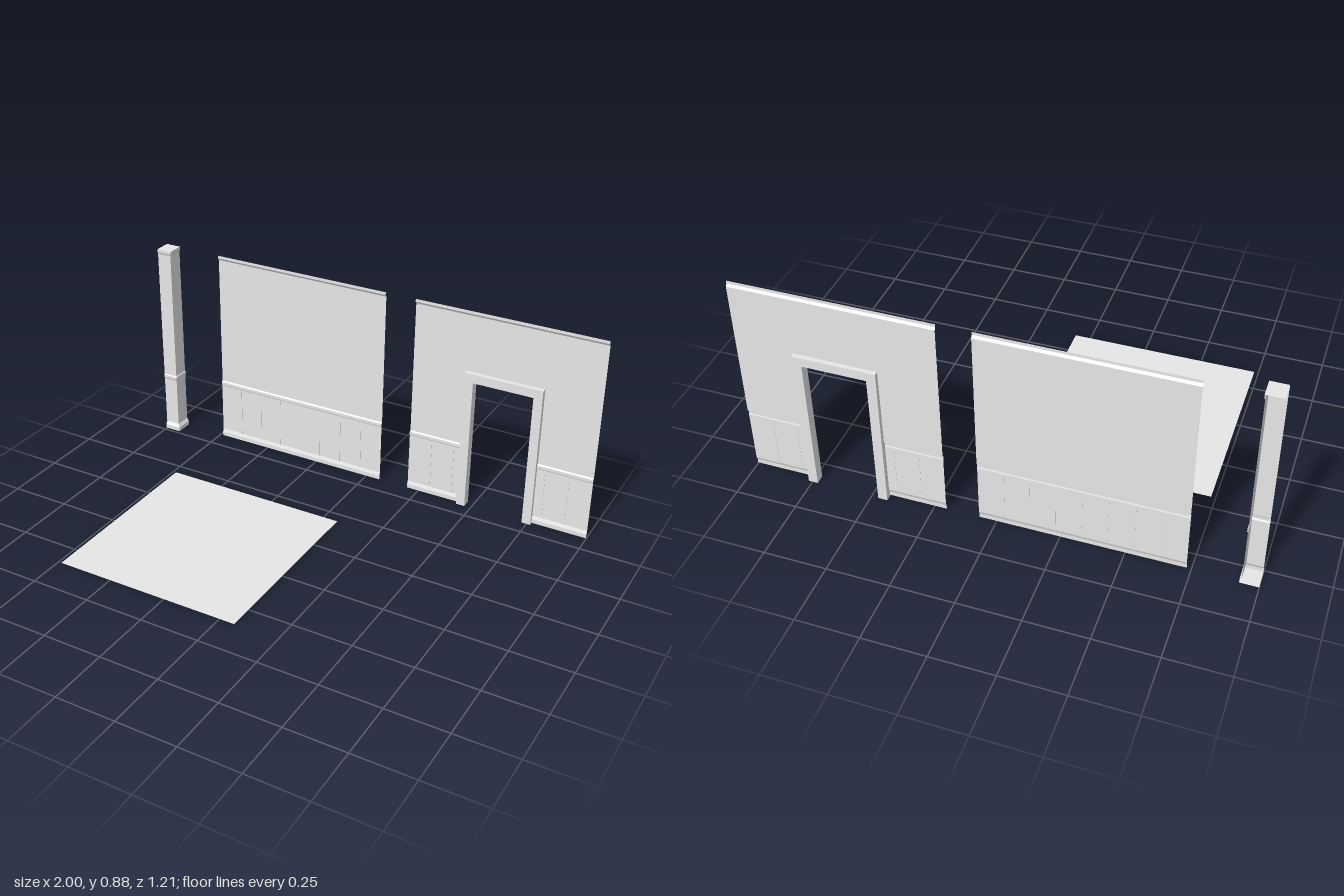
import * as THREE from 'three';

const plaster = new THREE.MeshStandardMaterial({ color: 0xe7e7e7, side: THREE.DoubleSide });
plaster.name = 'pale plaster';

const BASE = 0.004;   // underside of walls and floor
const TOP = 0.88;
const WALL_Z = -0.588;

// Moulding profile: [projection, height], from skirting to cornice
const PROFILE = [
  [0.009, BASE], [0.009, 0.022], [0.004, 0.036], [0.004, 0.258], [0.006, 0.264],
  [0.006, 0.276], [0, 0.281], [0, 0.858], [0.007, 0.868], [0.007, TOP],
];

// Crisp-edged sheet through rows of [x, y, z] points
function sheet(name, rows) {
  const pos = [];
  for (let r = 0; r < rows.length - 1; r++) {
    for (let c = 0; c < rows[r].length - 1; c++) {
      const a = rows[r][c], b = rows[r][c + 1], d = rows[r + 1][c], e = rows[r + 1][c + 1];
      pos.push(...a, ...b, ...e, ...a, ...e, ...d);
    }
  }
  const geo = new THREE.BufferGeometry();
  geo.setAttribute('position', new THREE.Float32BufferAttribute(pos, 3));
  geo.computeVertexNormals();
  const mesh = new THREE.Mesh(geo, plaster);
  mesh.name = name;
  return mesh;
}

// Straight length of moulded wall, starting at height y0
function wallRun(name, x0, x1, y0 = BASE) {
  let profile = PROFILE;
  if (y0 > BASE) profile = [[0, y0], ...PROFILE.filter((p) => p[1] > y0)];
  return sheet(name, profile.map(([d, y]) => [[x0, y, WALL_Z + d], [x1, y, WALL_Z + d]]));
}

// Slim upright battens on the wainscot, between x0 and x1
function battens(group, start, x0, x1) {
  for (let i = 1; i < 8; i++) {
    const x = start + i * 0.1;
    if (x < x0 + 0.01 || x > x1 - 0.01) continue;
    const strip = new THREE.Mesh(new THREE.BoxGeometry(0.006, 0.222, 0.003), plaster);
    strip.position.set(x, 0.147, WALL_Z + 0.0045);
    strip.name = 'wainscotBatten';
    group.add(strip);
  }
}

function createColumn() {
  const group = new THREE.Group();
  group.name = 'cornerColumn';
  const x = -0.936, z = -0.518;
  // Two moulded faces meeting at the outer corner, open behind
  group.add(sheet('columnFaces', PROFILE.map(([d, y]) => {
    const o = y > 0.8 || (y > 0.26 && y < 0.28) ? d * 0.6 : d === 0.004 ? 0 : d;
    return [[-1, y, z + o], [x + o, y, z + o], [x + o, y, WALL_Z]];
  })));
  // End caps
  for (const [name, y, o] of [['columnBottom', BASE, 0.009], ['columnTop', TOP, 0.004]]) {
    group.add(sheet(name, [
      [[-1, y, z + o], [x + o, y, z + o]],
      [[-1, y, WALL_Z], [x + o, y, WALL_Z]],
    ]));
  }
  return group;
}

function createDoorWall() {
  const group = new THREE.Group();
  group.name = 'doorWall';
  const left = 0.45, right = 0.75, head = 0.597;
  group.add(
    wallRun('wallBesideDoor', 0.2, left),
    wallRun('wallBesideDoor', right, 1),
    wallRun('wallAboveDoor', left, right, head),
  );
  battens(group, 0.2, 0.2, 0.434);
  battens(group, 0.2, 0.766, 1);

  // Door surround
  const outline = new THREE.Shape([
    [0.434, 0], [0.472, 0], [0.472, 0.578], [0.728, 0.578],
    [0.728, 0], [0.766, 0], [0.766, 0.616], [0.434, 0.616],
  ].map(([x, y]) => new THREE.Vector2(x, y)));
  const frame = new THREE.Mesh(
    new THREE.ExtrudeGeometry(outline, { depth: 0.039, bevelEnabled: false }), plaster);
  frame.position.z = -0.606;
  frame.name = 'doorFrame';
  group.add(frame);
  return group;
}

export function createModel() {
  const model = new THREE.Group();
  model.name = 'roomKit';

  const plainWall = new THREE.Group();
  plainWall.name = 'plainWall';
  plainWall.add(wallRun('wallPanel', -0.733, 0.067));
  battens(plainWall, -0.733, -0.733, 0.067);

  const floor = new THREE.Mesh(new THREE.PlaneGeometry(0.8, 0.8), plaster);
  floor.rotation.x = -Math.PI / 2;
  floor.position.set(-0.333, BASE, 0.206);
  floor.name = 'floorTile';

  model.add(createColumn(), plainWall, createDoorWall(), floor);
  return model;
}
